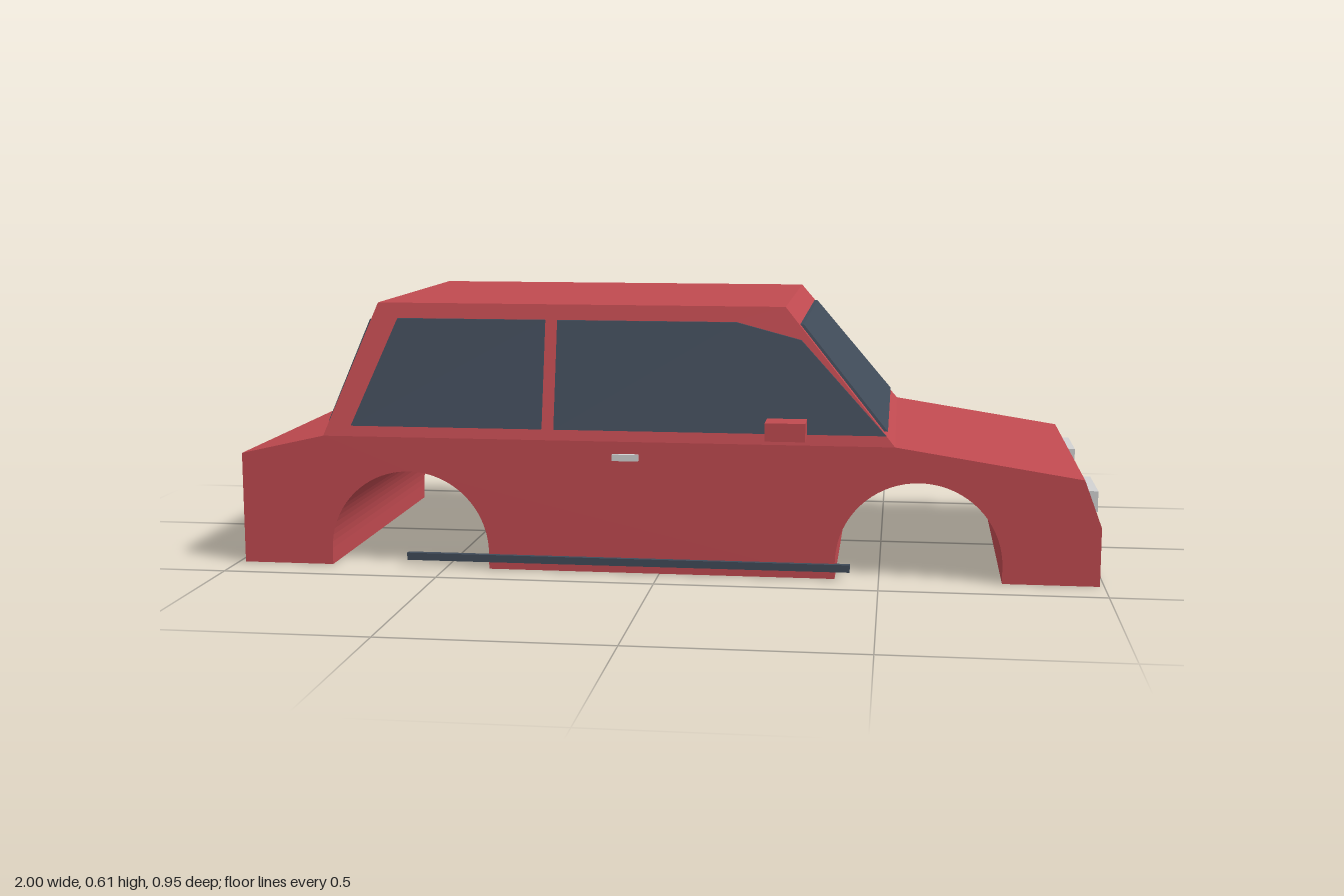
import * as THREE from 'three';

const mat = (name, color) => Object.assign(new THREE.MeshStandardMaterial({ color }), { name });

export function createModel() {
  const paint = mat('red paint', 0xc04a50);
  const glass = mat('dark glass and trim', 0x404b59);
  const silver = mat('light grey', 0xd2d2d2);
  const amber = mat('tail lamp', 0xb87c68);
  const car = new THREE.Group();
  car.name = 'car';

  const add = (name, geometry, material) => {
    const mesh = new THREE.Mesh(geometry, material);
    mesh.name = name;
    car.add(mesh);
    return mesh;
  };
  // Box given by its limits on each axis
  const box = (name, material, [x0, x1], [y0, y1], [z0, z1]) =>
    add(name, new THREE.BoxGeometry(x1 - x0, y1 - y0, Math.abs(z1 - z0)), material)
      .position.set((x0 + x1) / 2, (y0 + y1) / 2, (z0 + z1) / 2);

  // Lower body: side profile with two wheel arches, extruded across the car
  const half = 0.403;
  const profile = new THREE.Shape();
  profile.moveTo(-0.985, 0);
  for (const cx of [-0.585, 0.588]) {
    profile.lineTo(cx - 0.187, 0);
    profile.absarc(cx, 0.038, 0.187, Math.PI, 0, true);
    profile.lineTo(cx + 0.187, 0);
  }
  for (const [x, y] of [[0.99, 0], [0.99, 0.133], [0.95, 0.24], [0.532, 0.305], [-0.787, 0.305], [-0.985, 0.26]]) {
    profile.lineTo(x, y);
  }
  profile.closePath();
  const body = new THREE.ExtrudeGeometry(profile, { depth: half * 2, bevelEnabled: false, curveSegments: 18 });
  body.translate(0, 0, -half);
  add('lowerBody', body, paint);

  // Cabin: a box whose four walls lean inwards
  const y0 = 0.305, y1 = 0.61;
  const lean = (bottom, top) => (y) => bottom + (top - bottom) * (y - y0) / (y1 - y0);
  const frontX = lean(0.532, 0.28), rearX = lean(-0.787, -0.67), sideZ = lean(half, 0.33);
  const cabin = new THREE.BoxGeometry(1, 1, 1);
  const p = cabin.attributes.position;
  for (let i = 0; i < p.count; i++) {
    const y = p.getY(i) > 0 ? y1 : y0;
    p.setXYZ(i, p.getX(i) > 0 ? frontX(y) : rearX(y), y, Math.sign(p.getZ(i)) * sideZ(y));
  }
  cabin.computeVertexNormals();
  add('cabin', cabin, paint);

  // Window pane: thin plate sheared to lie on a leaning wall
  const thick = 0.008;
  const pane = (name, points, axis, wall, sign) => {
    const shape = new THREE.Shape(points.map(([a, b]) => new THREE.Vector2(a, b)));
    const g = new THREE.ExtrudeGeometry(shape, { depth: thick, bevelEnabled: false });
    if (axis === 'X') g.rotateY(Math.PI / 2);
    const q = g.attributes.position;
    for (let i = 0; i < q.count; i++) {
      const shift = wall(q.getY(i)) - (sign < 0 ? thick : 0);
      q['set' + axis](i, q['get' + axis](i) + shift);
    }
    g.computeVertexNormals();
    add(name, g, glass);
  };
  const screen = [[-0.37, 0.335], [0.37, 0.335], [0.32, 0.57], [-0.32, 0.57]];
  pane('windscreen', screen, 'X', frontX, 1);
  pane('rearWindow', screen, 'X', rearX, -1);

  for (const s of [1, -1]) {
    const wall = (y) => s * sideZ(y);
    pane('rearSideWindow', [[-0.72, 0.33], [-0.272, 0.33], [-0.272, 0.575], [-0.62, 0.575]], 'Z', wall, s);
    pane('frontSideWindow',
      [[-0.243, 0.33], [0.512, 0.33], [0.318, 0.537], [0.17, 0.575], [-0.243, 0.575]], 'Z', wall, s);

    // Side fittings
    box('wingMirror', paint, [0.245, 0.335], [0.324, 0.365], [s * 0.402, s * 0.473]);
    box('doorHandle', silver, [-0.107, -0.047], [0.262, 0.277], [s * 0.395, s * 0.414]);
    box('sillStrip', glass, [-0.59, 0.435], [0.018, 0.035], [s * 0.4, s * 0.414]);

    // Lamps
    box('headlamp', silver, [0.95, 0.983], [0.163, 0.21], [s * 0.19, s * 0.37]);
    box('tailLamp', amber, [-0.994, -0.975], [0.165, 0.22], [s * 0.19, s * 0.37]);
  }

  // Grille and rear plate
  box('grille', glass, [0.97, 0.998], [0.04, 0.097], [-0.221, 0.221]);
  box('rearPlate', silver, [-1, -0.975], [0.105, 0.16], [-0.065, 0.065]);

  return car;
}
